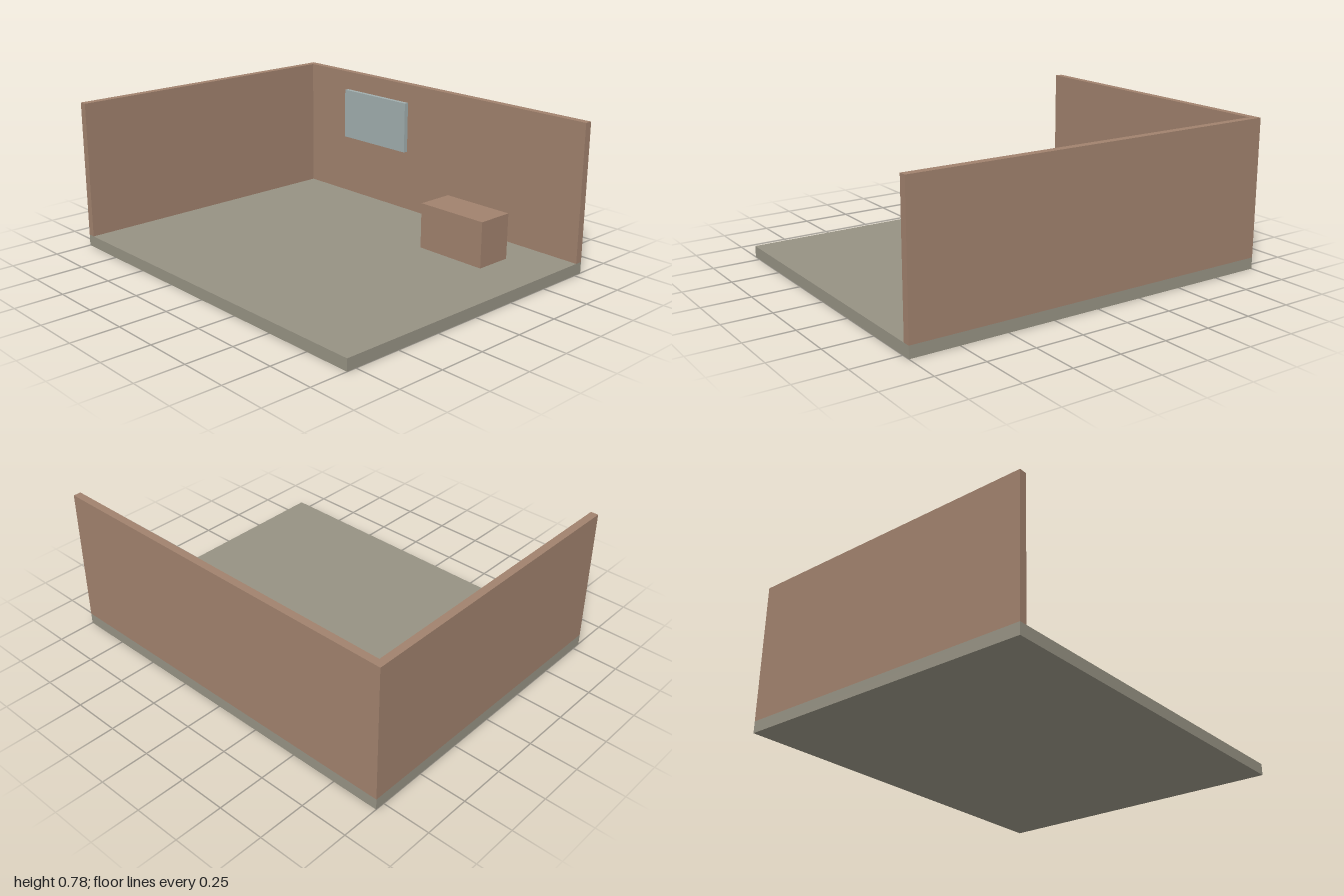
import * as THREE from 'three';

export function createModel() {
  const group = new THREE.Group();
  const floorStone = new THREE.MeshStandardMaterial({ name: 'floorStone', color: 0x969283 });
  const clayBrown = new THREE.MeshStandardMaterial({ name: 'clayBrown', color: 0xa0816d });
  const paleBlueGrey = new THREE.MeshStandardMaterial({ name: 'paleBlueGrey', color: 0xa0adad });

  // Box given by its lowest and highest corners
  function addBox(name, material, [x0, y0, z0], [x1, y1, z1]) {
    const mesh = new THREE.Mesh(new THREE.BoxGeometry(x1 - x0, y1 - y0, z1 - z0), material);
    mesh.position.set((x0 + x1) / 2, (y0 + y1) / 2, (z0 + z1) / 2);
    mesh.name = name;
    group.add(mesh);
  }

  // Room shell: floor slab and two walls meeting at the back left corner
  addBox('floor', floorStone, [-0.8, 0, -1], [0.8, 0.06, 1]);
  addBox('backWall', clayBrown, [-0.8, 0.06, -1], [0.76, 0.78, -0.96]);
  addBox('leftWall', clayBrown, [0.76, 0.06, -1], [0.8, 0.78, 1]);

  // Furnishings: a low block and a thin panel just off the left wall
  addBox('block', clayBrown, [0.36, 0.06, 0.32], [0.56, 0.3, 0.72]);
  addBox('wallPanel', paleBlueGrey, [0.725, 0.4, -0.64], [0.75, 0.68, -0.16]);

  return group;
}
